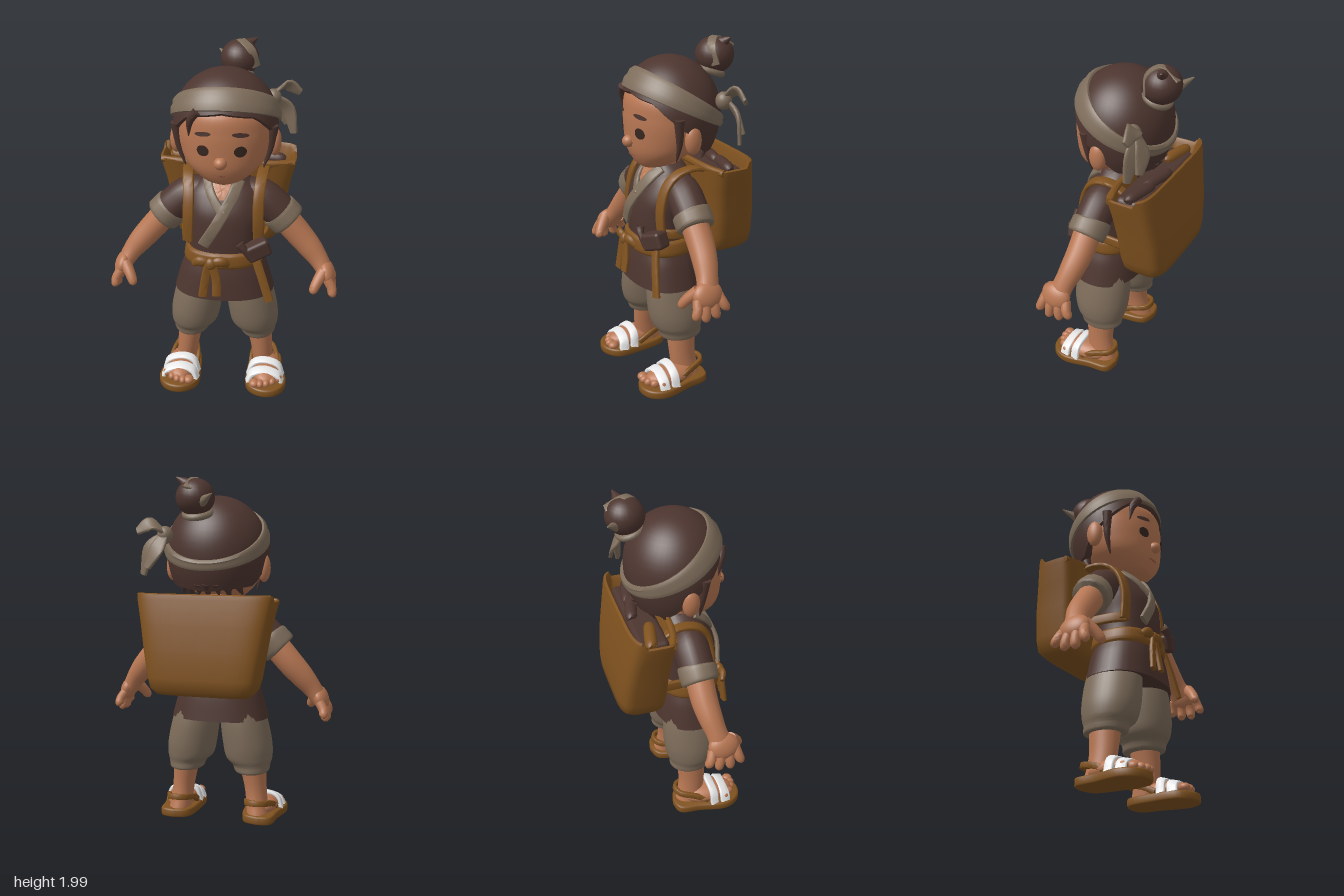
import * as THREE from 'three';
import { toCreasedNormals } from 'three/addons/utils/BufferGeometryUtils.js';
import { RoundedBoxGeometry } from 'three/addons/geometries/RoundedBoxGeometry.js';

const V = (x, y, z) => new THREE.Vector3(x, y, z);
const mat = (name, color, side = THREE.FrontSide) => Object.assign(new THREE.MeshStandardMaterial({ color, side }), { name });
const spow = (v, p) => Math.sign(v) * Math.abs(v) ** (2 / p);

// Skins a list of equal rings and caps both ends
function skin(rings, crease = 0.9) {
  const n = rings[0].length, m = rings.length, pos = [], idx = [];
  rings.forEach(r => r.forEach(p => pos.push(p.x, p.y, p.z)));
  for (let i = 0; i < m - 1; i++) for (let j = 0; j < n; j++) {
    const a = i * n + j, b = i * n + (j + 1) % n;
    idx.push(a, a + n, b, b, a + n, b + n);
  }
  [0, m - 1].forEach((row, e) => {
    const c = rings[row].reduce((s, p) => s.add(p), V(0, 0, 0)).divideScalar(n);
    pos.push(c.x, c.y, c.z);
    for (let j = 0; j < n; j++) {
      const a = row * n + j, b = row * n + (j + 1) % n;
      idx.push(m * n + e, e ? b : a, e ? a : b);
    }
  });
  const g = new THREE.BufferGeometry();
  g.setAttribute('position', new THREE.Float32BufferAttribute(pos, 3));
  g.setIndex(idx);
  return toCreasedNormals(g, crease);
}

// Rows are [y, cx, cz, rx, rz]; smoothing runs a spline through them
function smoothRows(rows, k = 5) {
  const A = new THREE.CatmullRomCurve3(rows.map(r => V(r[0], r[1], r[2])), false, 'catmullrom');
  const B = new THREE.CatmullRomCurve3(rows.map(r => V(r[3], r[4], 0)), false, 'catmullrom');
  const n = (rows.length - 1) * k;
  return Array.from({ length: n + 1 }, (_, i) => {
    const a = A.getPoint(i / n), b = B.getPoint(i / n);
    return [a.x, a.y, a.z, b.x, b.y];
  });
}
function loft(rows, p = 2, n = 36) {
  return skin(rows.map(([y, cx, cz, rx, rz]) => Array.from({ length: n }, (_, j) => {
    const t = j / n * Math.PI * 2;
    return V(cx + rx * spow(Math.cos(t), p), y, cz + rz * spow(Math.sin(t), p));
  })));
}
// Front surface depth of a loft at x, y
function frontZ(rows, x, y, p = 2) {
  const r = rows.reduce((a, b) => Math.abs(b[0] - y) < Math.abs(a[0] - y) ? b : a);
  return r[2] + r[4] * Math.max(0, 1 - Math.abs((x - r[1]) / r[3]) ** p) ** (1 / p);
}
// Sweeps a section along points [x, y, z, a, b]; a lies along ref, b across it
function sweep(pts, ref = V(0, 0, 1), p = 2, n = 16, k = 5) {
  const C = new THREE.CatmullRomCurve3(pts.map(q => V(q[0], q[1], q[2])), false, 'catmullrom');
  const R = new THREE.CatmullRomCurve3(pts.map(q => V(q[3], q[4] ?? q[3], 0)), false, 'catmullrom');
  const m = (pts.length - 1) * k;
  return skin(Array.from({ length: m + 1 }, (_, i) => {
    const c = C.getPoint(i / m), r = R.getPoint(i / m), T = C.getTangent(i / m);
    const N = ref.clone().addScaledVector(T, -ref.dot(T)).normalize(), B = N.clone().cross(T);
    return Array.from({ length: n }, (_, j) => {
      const t = j / n * Math.PI * 2;
      return c.clone().addScaledVector(N, r.x * spow(Math.cos(t), p)).addScaledVector(B, r.y * spow(Math.sin(t), p));
    });
  }));
}
const ribbon = (pts, w, ref, th = 0.012) => sweep(pts.map(q => [...q, w / 2, th]), ref, 5);
const ball = (x, y, z, rx, ry = rx, rz = rx) => new THREE.SphereGeometry(1, 24, 16).scale(rx, ry, rz).translate(x, y, z);
// Thin disc laid on the front of a loft
function decal(rows, cx, cy, rx, ry, tilt = 0, p = 2) {
  const g = new THREE.RingGeometry(0.001, 1, 24, 4).scale(rx, ry, 1).rotateZ(tilt).translate(cx, cy, 0), a = g.attributes.position;
  for (let i = 0; i < a.count; i++) a.setZ(i, frontZ(rows, a.getX(i), a.getY(i), p) + 0.005);
  g.computeVertexNormals();
  return g;
}

export function createModel() {
  const root = new THREE.Group();
  const flesh = mat('skin', 0xb87753), dark = mat('darkBrown', 0x4d352f, THREE.DoubleSide), pale = mat('paleCloth', 0x7d6c5a);
  const tan = mat('leather', 0x80521f), black = mat('eyeDark', 0x37261f), lip = mat('lip', 0x965a41);
  const add = (name, g, m) => { const o = new THREE.Mesh(g, m); o.name = name; root.add(o); return o; };

  // Head and face
  const head = smoothRows([[1.295, 0, .15, .05, .05], [1.325, 0, .13, .125, .11], [1.4, 0, .09, .21, .185], [1.5, 0, .06, .25, .225],
    [1.6, 0, .04, .265, .245], [1.7, 0, .03, .255, .238], [1.79, 0, .03, .18, .16]], 10);
  add('head', loft(head), flesh);
  add('neck', loft([[1.22, 0, .06, .09, .085], [1.38, 0, .07, .085, .085]]), flesh);
  add('nose', ball(-.005, 1.455, .285, .036, .034, .036), flesh);
  add('mouth', decal(head, 0, 1.375, .045, .005), lip);
  for (const s of [-1, 1]) {
    add('ear', ball(s * .272, 1.495, .04, .036, .08, .048), flesh);
    add('eye', decal(head, s * .1, 1.52, .033, .031), black);
    add('eyebrow', decal(head, s * .1, 1.612, .045, .013, -s * .12), dark);
    add('sideLock', sweep([[s * .262, 1.62, .12, .03], [s * .248, 1.48, .11, .018], [s * .215, 1.37, .11, .004]]), dark);
  }

  // Hair cap with a hairline that is high in front and low at the nape
  const line = [[0, 1.73], [40, 1.7], [65, 1.6], [90, 1.5], [110, 1.4], [180, 1.37]];
  const hairline = d => {
    const i = Math.max(1, line.findIndex(q => q[0] >= d)), [a, b] = [line[i - 1], line[i]];
    return a[1] + (b[1] - a[1]) * (d - a[0]) / (b[0] - a[0]);
  };
  add('hair', skin(Array.from({ length: 19 }, (_, i) => Array.from({ length: 48 }, (_, j) => {
    const deg = j * 7.5, t = deg * Math.PI / 180, low = hairline(Math.abs((deg + 90) % 360 - 180));
    const y = low + (1.9 - low) * Math.sin(i / 18 * Math.PI / 2);
    const k = Math.sqrt(Math.max(0, 1 - ((y - 1.6) / (y > 1.6 ? .3 : .38)) ** 2));
    return V(.29 * k * Math.cos(t), y, .03 + .275 * k * Math.sin(t));
  }))), dark);
  add('fringeLock', sweep([[-.13, 1.73, .25, .025], [-.17, 1.67, .235, .02], [-.18, 1.58, .22, .003]]), dark);
  for (let i = -3; i <= 3; i++)
    add('napeLock', sweep([[i * .05, 1.42, -.185 + i * i * .009, .035], [i * .058, 1.33 + (i & 1) * .02, -.15 + i * i * .009, .004]]), dark);
  add('bun', ball(.055, 1.885, -.22, .107, .102, .108), dark);
  add('bunTie', new THREE.TorusGeometry(.068, .02, 8, 24).rotateX(1.2).translate(.05, 1.8, -.195), pale);
  add('bunWrap', ribbon([[.15, 1.85, -.17], [.12, 1.945, -.16], [.06, 1.985, -.22], [.07, 1.93, -.32]], .05, V(.6, 0, -.3), .006), pale);
  add('bunTip', sweep([[.09, 1.95, -.24, .04], [.15, 1.99, -.26, .004]]), dark);
  add('bunTip', sweep([[.0, 1.86, -.28, .03], [-.07, 1.9, -.34, .004]], V(0, 1, 0)), pale);

  // Headband, a tilted ring wrapped on the hair
  const tilt = .52, rings = [];
  for (let i = 0; i <= 64; i++) {
    const f = i / 64 * Math.PI * 2, h = .165 + .065 * Math.cos(f);
    rings.push([[-1, .97], [-.95, 1.045], [-.3, 1.07], [.1, 1.05], [.5, 1.07], [.95, 1.04], [1, .97]].map(([o, sc]) => {
      const a = .23 + o * h, c = Math.cos(a) * Math.cos(f), u = Math.sin(a);
      const d = V(-Math.cos(a) * Math.sin(f), c * Math.sin(tilt) + u * Math.cos(tilt), c * Math.cos(tilt) - u * Math.sin(tilt));
      const r = sc / Math.hypot(d.x / .29, d.y / (d.y > 0 ? .3 : .38), d.z / .275);
      return d.multiplyScalar(r).add(V(0, 1.6, .03));
    }));
  }
  const band = skin(rings);
  add('headband', band, Object.assign(pale, { side: THREE.DoubleSide }));
  add('bandKnot', ball(.25, 1.68, -.16, .045, .05, .045), pale);
  [[[.24, 1.69, -.17], [.32, 1.74, -.2], [.4, 1.7, -.2]], [[.25, 1.68, -.18], [.33, 1.6, -.2], [.37, 1.46, -.19]],
    [[.25, 1.68, -.18], [.28, 1.6, -.23], [.33, 1.5, -.24]]].forEach(q => add('bandTail',
    sweep(q.map((c, i) => [...c, [.025, .048, .022][i], .011]), V(.6, .6, .45), 4), pale));

  // Tunic, collar and belt
  const P = 2.3, tunic = smoothRows([[.615, 0, .1, .288, .2], [.75, 0, .1, .25, .185], [.86, 0, .1, .208, .165], [1, 0, .1, .205, .165],
    [1.12, 0, .09, .215, .16], [1.22, 0, .07, .2, .13], [1.28, 0, .055, .14, .1], [1.31, 0, .055, .1, .085]], 8);
  add('tunic', loft(tunic, P), dark);
  add('openNeck', decal(tunic, -.01, 1.255, .06, .05, 0, P), flesh);
  const lay = (pts, o) => pts.map(([x, y]) => [x, y, frontZ(tunic, x, y, P) + o]);
  add('collar', ribbon(lay([[-.095, 1.3], [-.065, 1.23], [0, 1.14]], .006), .05, V(.85, .5, 0)), pale);
  add('collar', ribbon(lay([[.085, 1.3], [.05, 1.22], [-.03, 1.08], [-.105, .95]], .012), .065, V(.85, -.5, 0)), pale);
  add('belt', loft(smoothRows([[.81, 0, .1, .225, .178], [.83, 0, .1, .232, .187], [.885, 0, .1, .222, .184], [.9, 0, .1, .205, .17]]), P), tan);
  add('beltKnot', ball(-.06, .85, .295, .035, .038, .028), tan);
  for (const s of [-1, 1]) add('bowLoop', sweep([[-.06, .855, .295, .02, .015], [-.06 + s * .06, .865, .295, .03, .02], [-.06 + s * .1, .84, .28, .018, .012]], V(0, 1, 0)), tan);
  [[[-.07, .85, .3], [-.09, .76, .305], [-.105, .65, .315]], [[-.05, .85, .3], [-.03, .76, .305], [-.025, .66, .32]],
    [[.18, .88, .225], [.225, .75, .25], [.27, .61, .27]]].forEach(q => add('beltTail', ribbon(q, .05, V(1, .2, -.2)), tan));
  const pouch = add('pouch', new RoundedBoxGeometry(.14, .1, .09, 3, .02), dark);
  pouch.position.set(.195, .925, .235); pouch.rotation.set(0, .35, .35);
  add('toolHandle', sweep([[.1, .975, .28, .027], [.125, .945, .285, .02], [.17, .88, .27, .022]]), dark);

  for (const s of [-1, 1]) {
    // Sleeve, arm and hand
    add('sleeve', sweep([[s * .1, 1.2, .06, .085], [s * .2, 1.175, .06, .1], [s * .28, 1.115, .065, .1], [s * .335, 1.06, .07, .095]]), dark);
    add('cuff', sweep([[s * .3, 1.095, .068, .103], [s * .31, 1.085, .068, .109], [s * .355, 1.04, .072, .107], [s * .365, 1.03, .073, .098]]), pale);
    add('arm', sweep([[s * .33, 1.06, .07, .078], [s * .42, .955, .075, .075], [s * .49, .875, .09, .068], [s * .545, .805, .11, .06, .055], [s * .585, .74, .13, .07, .045]]), flesh);
    add('palm', ball(0, 0, 0, .045, .075, .088).rotateZ(s * .35).translate(s * .592, .745, .135), flesh);
    [[.07, .04, .66], [.115, .1, .63], [.16, .165, .625], [.2, .225, .65]].forEach(([z0, z1, y]) =>
      add('finger', sweep([[s * .595, .73, z0, .028], [s * .62, (y + .72) / 2, (z0 + z1) / 2, .027], [s * .625, y, z1, .024], [s * .622, y - .016, z1, .008]]), flesh));
    add('thumb', sweep([[s * .57, .77, .18, .035], [s * .535, .72, .225, .03], [s * .515, .68, .25, .024], [s * .508, .665, .255, .008]]), flesh);

    // Trouser leg, shin and foot
    add('trouserLeg', loft(smoothRows([[.295, s * .2, .075, .09, .112], [.305, s * .2, .075, .102, .125], [.34, s * .195, .08, .112, .13], [.38, s * .18, .087, .137, .152],
      [.46, s * .17, .09, .145, .166], [.58, s * .15, .09, .14, .166], [.7, s * .13, .09, .125, .15]])), pale);
    add('shin', loft(smoothRows([[.05, s * .24, .06, .065, .085], [.11, s * .232, .07, .063, .08], [.2, s * .222, .078, .065, .08], [.33, s * .205, .075, .078, .09]])), flesh);
    add('foot', ball(s * .255, .075, .17, .088, .058, .16), flesh);
    for (let i = 0; i < 5; i++)
      add('toe', ball(s * (.195 + i * .035), .07, .325 - i * i * .006 + i * .008, i ? .022 : .03, .024, .032), flesh);
    const sole = new THREE.Shape(new THREE.SplineCurve([[0, -.04], [.07, -.015], [.085, .1], [.113, .25], [.07, .34], [-.02, .36], [-.1, .3], [-.108, .17], [-.085, .0], [0, -.04]]
      .map(([x, z]) => new THREE.Vector2(s * (x + .258), z))).getPoints(48));
    add('sole', toCreasedNormals(new THREE.ExtrudeGeometry(sole, { depth: .03, bevelThickness: .01, bevelSize: .01, bevelSegments: 2 }).rotateX(Math.PI / 2).translate(0, .04, 0), .8), tan);
    [[.27, .115, .06], [.2, .137, .05]].forEach(([z, top, w]) => add('sandalStrap',
      ribbon([[s * .152, .04, z], [s * .18, top - .02, z - .01], [s * .25, top, z - .015], [s * .33, top - .025, z - .01], [s * .358, .04, z - .01]], w, V(0, -.3, 1))), tan);
    add('ankleStrap', ribbon([[s * .165, .06, .16], [s * .165, .1, .08], [s * .19, .12, -.005], [s * .24, .125, -.03], [s * .29, .12, -.005], [s * .318, .1, .08], [s * .33, .06, .16]], .035, V(0, 1, .2)), tan);

    // Shoulder straps
    add('shoulderStrap', ribbon([[s * .22, 1.26, -.12], [s * .215, 1.31, -.02], [s * .205, 1.295, .09], [s * .195, 1.22, .165], [s * .195, 1.09, .2], [s * .2, .94, .195]], .062, V(1, 0, -s * .25)), tan);
    add('lowerStrap', ribbon([[s * .19, .955, .2], [s * .235, .95, .1], [s * .25, .95, -.12]], .055, V(0, 1, 0)), tan);
  }

  // Backpack: open bag whose back wall stands higher
  const pack = loft([[.795, 0, -.21, .22, .07], [.805, 0, -.215, .27, .11], [.84, 0, -.225, .3, .135], [.9, 0, -.222, .315, .142], [1.05, 0, -.213, .34, .142],
    [1.2, 0, -.192, .365, .14], [1.3, 0, -.175, .39, .135], [1.325, 0, -.17, .393, .133], [1.33, 0, -.17, .38, .12], [1.31, 0, -.17, .365, .11], [1.24, 0, -.175, .35, .105]], 5, 48);
  const a = pack.attributes.position;
  for (let i = 0; i < a.count; i++) if (a.getY(i) > 1.28 && a.getZ(i) < -.24) a.setY(i, a.getY(i) + .035);
  pack.computeVertexNormals();
  add('backpack', toCreasedNormals(pack, .9), tan);
  add('packRim', sweep([[-.38, 1.315, -.09, .02], [-.2, 1.32, -.05, .02], [.2, 1.32, -.05, .02], [.38, 1.315, -.09, .02]], V(0, 1, 0)), tan);
  add('packContents', new RoundedBoxGeometry(.64, .08, .17, 2, .03).translate(0, 1.265, -.17), dark);
  [[-.24, -.19], [.22, -.2], [.05, -.22]].forEach(([x, z], i) =>
    add('bundle', sweep([[x - .1, 1.3, z, .02], [x - .07, 1.305, z, .033], [x + .07, 1.31, z + .03, .033], [x + .1, 1.3, z + .03, .02]], V(0, 1, 0)), i ? dark : tan));
  return root;
}
